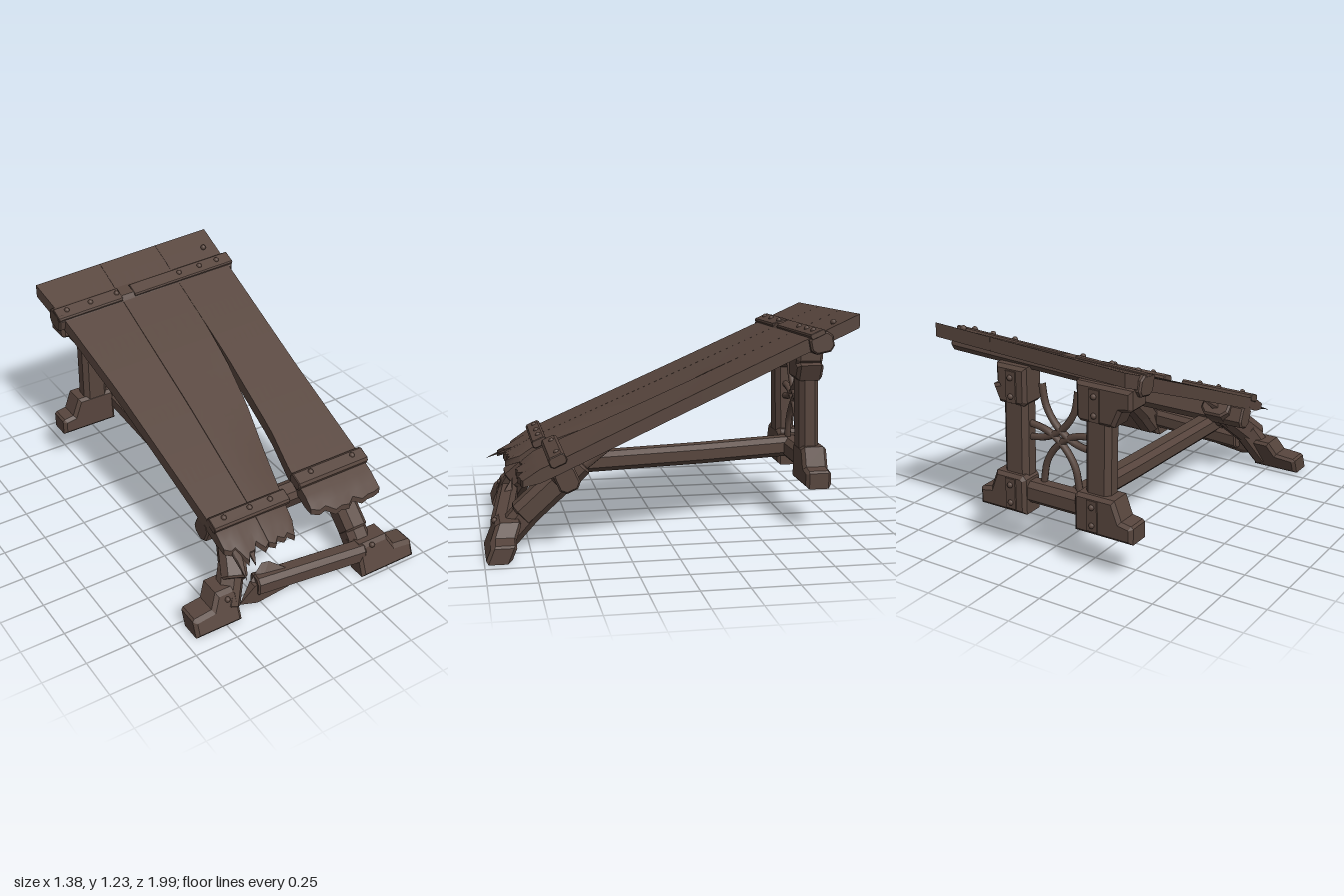
import * as THREE from 'three';
import { ConvexGeometry } from 'three/addons/geometries/ConvexGeometry.js';

const V = (x, y, z) => new THREE.Vector3(x, y, z);
const TILT = 0.41;

// Height of the sloping, slightly twisted table surface
const topY = (x, z) => 1.205 - 0.434 * (z + 1) + 0.05 * x * Math.max(0, 0.6 - z) / 1.6;

// Piecewise linear lookup in [[z, value], ...]
function lookup(table, z) {
  for (let i = 1; i < table.length; i++) {
    const [z0, a] = table[i - 1], [z1, b] = table[i];
    if (z <= z1) return a + (b - a) * Math.max(0, (z - z0) / (z1 - z0));
  }
  return table[table.length - 1][1];
}

export function createModel() {
  const root = new THREE.Group();
  root.name = 'brokenTable';
  const wood = new THREE.MeshStandardMaterial({ color: 0x57453d });
  wood.name = 'darkWood';

  function add(name, geo) {
    const m = new THREE.Mesh(geo, wood);
    m.name = name;
    root.add(m);
    return m;
  }

  // Chamfered timber from a to b
  function beam(name, a, b, w, h, roll = 0) {
    const c = Math.min(w, h) * 0.24, e = Math.min(w, h) * 0.08;
    const x = w / 2, y = h / 2;
    const s = new THREE.Shape([[x - c, -y], [x, -y + c], [x, y - c], [x - c, y],
      [-x + c, y], [-x, y - c], [-x, -y + c], [-x + c, -y]].map(p => new THREE.Vector2(...p)));
    const geo = new THREE.ExtrudeGeometry(s, {
      depth: a.distanceTo(b) - 2 * e, bevelThickness: e, bevelSize: e, bevelOffset: -e, bevelSegments: 1,
    });
    geo.translate(0, 0, e);
    const m = add(name, geo);
    m.position.copy(a);
    m.lookAt(b);
    m.rotateZ(roll);
    return m;
  }

  // Outline in the x-y plane with thickness in z
  function slab(name, pts, z0, z1, e = 0.018) {
    const geo = new THREE.ExtrudeGeometry(new THREE.Shape(pts.map(p => new THREE.Vector2(...p))), {
      depth: z1 - z0 - 2 * e, bevelThickness: e, bevelSize: e, bevelOffset: -e, bevelSegments: 1,
    });
    geo.translate(0, 0, z0 + e);
    return add(name, geo);
  }

  // Stepped foot; side sets the toe direction, up = -1 turns it into a capital
  function foot(name, inner, outer, step, y, toe, block, z0, z1, up = 1) {
    const d = Math.sign(outer - inner);
    const pts = [[inner, y], [outer, y], [outer, y + up * (toe - 0.012)], [outer - d * 0.012, y + up * toe],
      [step + d * 0.04, y + up * (toe + 0.01)], [step, y + up * block], [inner + d * 0.02, y + up * block],
      [inner, y + up * (block - 0.02)]];
    return slab(name, d * up > 0 ? pts : pts.reverse(), z0, z1);
  }

  function rivet(x, y, z, r = 0.016) {
    add('rivet', new THREE.SphereGeometry(r, 10, 7)).position.set(x, y, z);
  }

  // Tapering five-sided splinter
  function spike(name, a, b, w, h) {
    const geo = new THREE.ConeGeometry(0.5, 1, 5).rotateX(Math.PI / 2).translate(0, 0, 0.5);
    const m = add(name, geo);
    m.position.copy(a);
    m.lookAt(b);
    m.scale.set(w, h, a.distanceTo(b));
  }

  // Planks: ends lists the ragged front edge from -x to +x
  function plank(name, left, right, ends, droop = 0) {
    const nu = ends.length - 1, nv = 20, jag = 0.7;
    const geo = new THREE.BoxGeometry(1, 1, 1, nu, 1, nv);
    const p = geo.attributes.position;
    for (let i = 0; i < p.count; i++) {
      const u = p.getX(i) + 0.5, t = p.getY(i) + 0.5, v = p.getZ(i) + 0.5;
      const end = ends[Math.round(u * nu)];
      const k = Math.max(0, (v - 0.9) / 0.1);
      const z = v < 0.9 ? -1 + (v / 0.9) * (jag + 1) : jag + k * (end - jag);
      const x = THREE.MathUtils.lerp(lookup(left, z), lookup(right, z), u);
      const sag = droop * u * u * Math.max(0, 1 - Math.abs(z - 0.35) / 0.6);
      const thick = 0.075 - 0.04 * k;
      p.setXYZ(i, x, topY(x, z) - sag - (1 - t) * thick - 0.02 * k, z);
    }
    geo.computeVertexNormals();
    add(name, geo);
  }
  plank('rightPlank', [[-1, -0.595], [-0.7, -0.55], [-0.2, -0.5], [0.66, -0.445], [1, -0.44]],
    [[-1, -0.181], [0, -0.181], [1, -0.203]],
    [0.78, 0.8, 0.79, 0.88, 0.84, 0.84, 0.8, 0.85, 0.83]);
  plank('middlePlank', [[-1, -0.18], [0, -0.178], [1, -0.202]],
    [[-1, 0.194], [-0.4, 0.192], [-0.15, 0.175], [0.1, 0.14], [0.4, 0.07], [0.7, 0], [1, -0.03]],
    [0.83, 0.85, 0.82, 0.84, 0.82, 0.85, 0.77], 0.025);
  plank('leftPlank', [[-1, 0.195], [-0.2, 0.193], [0.3, 0.17], [0.55, 0.13], [1, 0.115]],
    [[-1, 0.54], [0, 0.55], [0.6, 0.568], [1, 0.56]],
    [0.76, 0.78, 0.77, 0.81, 0.8, 0.81, 0.78, 0.81, 0.8, 0.8, 0.79]);
  spike('plankSplinter', V(-0.37, 0.4, 0.75), V(-0.41, 0.31, 0.95), 0.08, 0.035);
  spike('plankSplinter', V(-0.29, 0.4, 0.76), V(-0.33, 0.345, 0.91), 0.08, 0.035);

  // Battens across the planks, with rivets
  for (const [x0, x1, z, w, h, studs] of [
    [-0.45, 0.025, 0.66, 0.085, 0.045, [-0.37, -0.21, -0.08]],
    [0.115, 0.58, 0.61, 0.095, 0.06, [0.22, 0.5]],
    [-0.59, -0.18, -0.765, 0.09, 0.035, [-0.52, -0.37, -0.2]],
    [-0.1, 0.57, -0.765, 0.085, 0.03, [0.22, 0.36, 0.48]],
  ]) {
    beam('batten', V(x0, topY(x0, z) + 0.004, z), V(x1, topY(x1, z) + 0.004, z), w, h, TILT);
    for (const x of studs) rivet(x, topY(x, z) + 0.004 + h / 2, z);
  }
  rivet(0.46, topY(0.46, -0.88) + 0.008, -0.88);

  // Beams under the table
  beam('backUnderBeam', V(-0.59, 1.045, -0.79), V(0.57, 1.085, -0.79), 0.13, 0.11, 0.2);
  beam('frontCrossBeam', V(-0.45, 0.4, 0.56), V(0.55, 0.4, 0.56), 0.12, 0.14, TILT);

  // Back trestle: posts, stepped feet and capitals, metal straps
  for (const [c, inner, toe, step, capToe, capStep] of [
    [-0.355, -0.24, -0.585, -0.475, -0.565, -0.46],
    [0.15, 0.065, 0.36, 0.25, 0.25, 0.235],
  ]) {
    beam('backPost', V(c, 0.3, -0.845), V(c, 1.03, -0.825), 0.15, 0.11);
    foot('backFoot', inner, toe, step, 0.24, 0.1, 0.215, -0.93, -0.785);
    foot('backCapital', inner, capToe, capStep, 1.04, 0.11, 0.21, -0.9, -0.75, -1);
    for (const [y, z] of [[0.35, -0.93], [0.93, -0.9]]) {
      const strap = add('strap', new THREE.BoxGeometry(0.06, 0.17, 0.018));
      strap.position.set(c, y, z);
      rivet(c, y - 0.05, z - 0.009);
      rivet(c, y + 0.05, z - 0.009);
    }
  }
  beam('backLowerRail', V(-0.3, 0.36, -0.85), V(0.1, 0.36, -0.85), 0.11, 0.12);

  // Lattice of crossing quarter arcs between the posts
  const cx = -0.105, cy = 0.69, hw = 0.2, hh = 0.27, r = 0.31;
  for (const sx of [-1, 1]) for (const sy of [-1, 1]) {
    const pts = [0, 1, 2, 3, 4].map(i => {
      const a = i * Math.PI / 8;
      return V(cx + sx * (hw - r * Math.cos(a)), cy + sy * (hh - r * Math.sin(a)), -0.835);
    });
    add('latticeArc', new THREE.TubeGeometry(new THREE.CatmullRomCurve3(pts), 16, 0.019, 8));
  }

  // Long stretcher joining back and front
  beam('stretcher', V(-0.2, 0.31, 0.6), V(-0.2, 0.345, -0.35), 0.12, 0.115);
  beam('stretcherEnd', V(-0.2, 0.343, -0.3), V(-0.2, 0.37, -0.83), 0.12, 0.115);

  // Front legs: leaning foot, bent leg and knee block
  const lean = new THREE.Matrix4().makeShear(0, 0, 0, -0.4, 0, 0);
  foot('rightFrontFoot', -0.41, -0.69, -0.53, 0.01, 0.1, 0.185, 0.775, 0.925).geometry.applyMatrix4(lean);
  foot('leftFrontFoot', 0.33, 0.685, 0.53, 0.005, 0.095, 0.175, 0.865, 1).geometry.applyMatrix4(lean);
  for (const [foot0, mid, knee] of [
    [V(-0.455, 0.06, 0.825), V(-0.37, 0.23, 0.75), V(-0.28, 0.42, 0.55)],
    [V(0.4, 0.07, 0.88), V(0.4, 0.22, 0.75), V(0.4, 0.42, 0.53)],
  ]) {
    const dir = knee.clone().sub(mid).normalize();
    beam('frontShin', foot0, mid.clone().addScaledVector(dir, 0.04), 0.135, 0.14);
    beam('frontLeg', mid.clone().addScaledVector(dir, -0.06), knee, 0.14, 0.15);
    beam('kneeBlock', knee.clone().add(V(0, -0.07, 0.07)), knee.clone().add(V(0, 0.05, -0.05)), 0.18, 0.15);
  }
  rivet(-0.475, 0.15, 0.865);
  rivet(0.42, 0.165, 0.935);
  spike('legSplinter', V(0.4, 0.39, 0.52), V(0.31, 0.655, 0.1), 0.1, 0.06);
  spike('legSplinter', V(-0.28, 0.42, 0.55), V(-0.25, 0.56, 0.34), 0.09, 0.06);

  // Snapped front rail with a splintered end
  beam('brokenRail', V(0.38, 0.12, 0.9), V(-0.28, 0.13, 0.825), 0.11, 0.115);
  add('brokenRailEnd', new ConvexGeometry([
    V(-0.385, 0.05, 0.845), V(-0.28, 0.025, 0.86), V(-0.1, 0.075, 0.885), V(-0.1, 0.075, 0.81),
    V(-0.3, 0.15, 0.86), V(-0.3, 0.15, 0.81), V(-0.08, 0.18, 0.86)]));
  add('brokenRailSplinter', new ConvexGeometry([
    V(-0.3, 0.16, 0.82), V(-0.22, 0.235, 0.8), V(-0.18, 0.235, 0.81), V(-0.09, 0.18, 0.86),
    V(-0.09, 0.15, 0.81), V(-0.27, 0.13, 0.86)]));
  return root;
}
